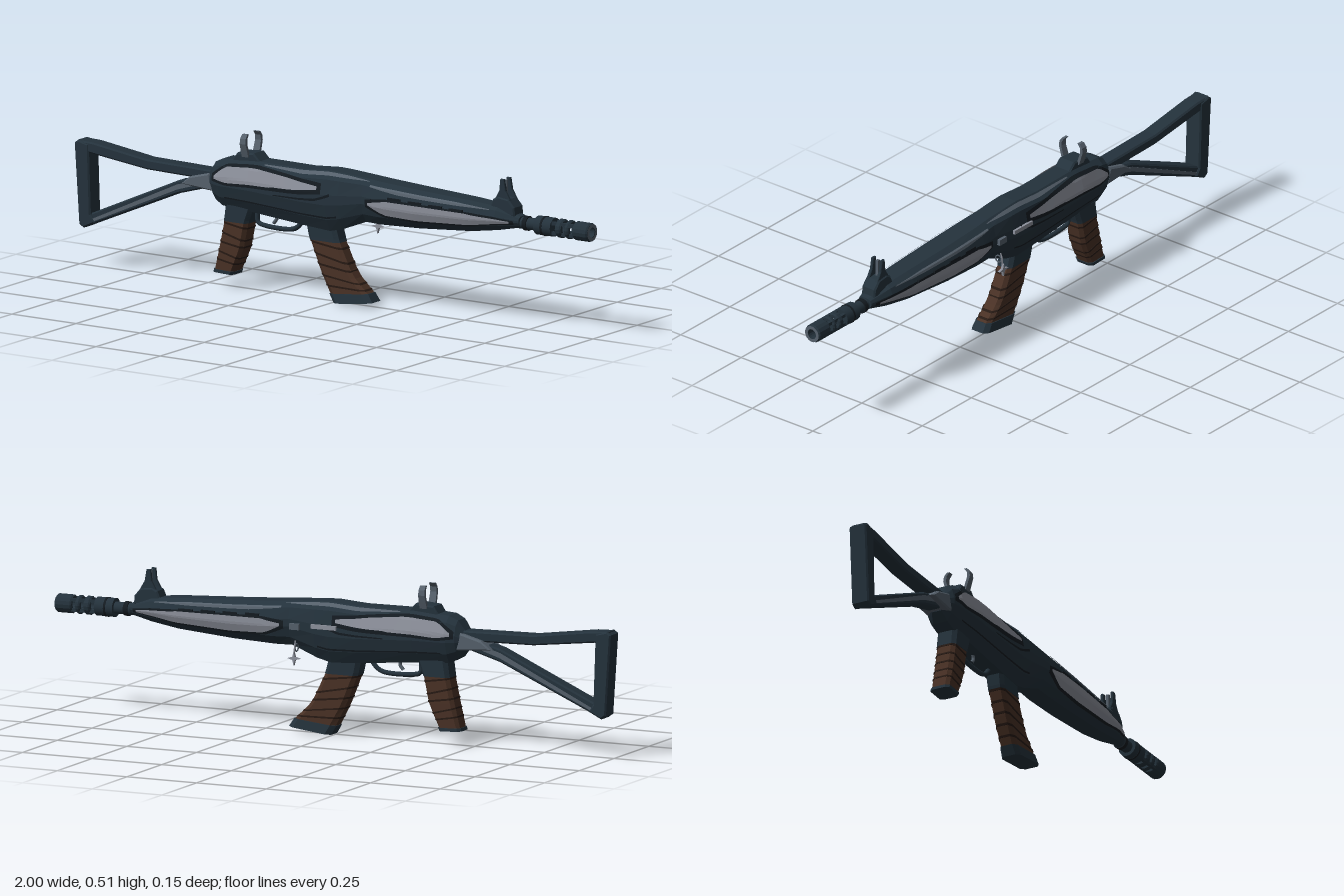
import * as THREE from 'three';

const mat = (name, color, side = THREE.FrontSide) => {
  const m = new THREE.MeshStandardMaterial({ color, side });
  m.name = name;
  return m;
};
const V = (x, y, z) => new THREE.Vector3(x, y, z);
const lerp = THREE.MathUtils.lerp;

// Piecewise-linear lookup in rows keyed by their first number
function sample(rows, k) {
  let i = 0;
  while (i < rows.length - 2 && k > rows[i + 1][0]) i++;
  const a = rows[i], b = rows[i + 1];
  const t = THREE.MathUtils.clamp((k - a[0]) / (b[0] - a[0]), 0, 1);
  return a.map((n, j) => lerp(n, b[j], t));
}

function flatGeometry(tris) {
  const g = new THREE.BufferGeometry().setFromPoints(tris);
  g.computeVertexNormals();
  return g;
}

// Closed faceted solid through rings of equal point count
function loft(rings) {
  const tris = [], n = rings[0].length;
  for (let i = 0; i < rings.length - 1; i++)
    for (let j = 0; j < n; j++) {
      const a = rings[i][j], b = rings[i][(j + 1) % n], c = rings[i + 1][(j + 1) % n], d = rings[i + 1][j];
      tris.push(a, b, c, a, c, d);
    }
  const first = rings[0], last = rings[rings.length - 1];
  for (let j = 1; j < n - 1; j++) {
    tris.push(first[0], first[j + 1], first[j]);
    tris.push(last[0], last[j], last[j + 1]);
  }
  // turn the faces outwards
  let volume = 0;
  for (let i = 0; i < tris.length; i += 3) volume += tris[i].dot(V(0, 0, 0).crossVectors(tris[i + 1], tris[i + 2]));
  if (volume < 0) for (let i = 0; i < tris.length; i += 3) [tris[i + 1], tris[i + 2]] = [tris[i + 2], tris[i + 1]];
  return flatGeometry(tris);
}

// Body stations: x, bottom, top, half width
const BODY = [
  [-0.475, 0.315, 0.375, 0.035], [-0.45, 0.285, 0.41, 0.052], [-0.42, 0.27, 0.424, 0.06],
  [-0.3, 0.262, 0.432, 0.064], [-0.1, 0.245, 0.43, 0.066], [0, 0.238, 0.437, 0.066],
  [0.05, 0.25, 0.435, 0.066], [0.14, 0.285, 0.429, 0.063], [0.2, 0.284, 0.424, 0.066],
  [0.35, 0.29, 0.415, 0.066], [0.55, 0.305, 0.405, 0.059], [0.65, 0.32, 0.397, 0.049], [0.73, 0.336, 0.372, 0.027],
];
// Half cross-section: height fraction, width fraction
const SECTION = [[0, 0.5], [0.2, 0.82], [0.45, 1], [0.62, 1], [0.87, 0.84], [1, 0.48]];

function bodyPoint(x, v, side, lift = 0) {
  const [, lo, hi, w] = sample(BODY, x);
  return V(x, lerp(lo, hi, v) + (v > 0.6 ? lift * 0.5 : 0), side * (sample(SECTION, v)[1] * w + lift));
}

// Thin panel lying on the body side; rows are x, lower and upper height fraction
function bodyPanel(rows, side, lift) {
  const tris = [], nx = 24, nv = 6;
  const x0 = rows[0][0], x1 = rows[rows.length - 1][0];
  const p = (i, j) => {
    const [x, lo, hi] = sample(rows, lerp(x0, x1, i / nx));
    return bodyPoint(x, lerp(lo, hi, j / nv), side, lift);
  };
  for (let i = 0; i < nx; i++)
    for (let j = 0; j < nv; j++) {
      const a = p(i, j), b = p(i + 1, j), c = p(i + 1, j + 1), d = p(i, j + 1);
      if (side > 0) tris.push(a, b, c, a, c, d);
      else tris.push(a, c, b, a, d, c);
    }
  return flatGeometry(tris);
}

// Grip and magazine rows: t, rear x, rear y, front x, front y, half depth
function handle(rows, t0, t1, grow = 0, slant = 0) {
  const rings = [], steps = 6;
  for (let i = 0; i <= steps; i++) {
    const t = lerp(t0, t1, i / steps);
    const r = sample(rows, t), f = sample(rows, t + slant);
    const w = r[5] + grow;
    const at = (k, z) => V(lerp(r[1] - grow, f[3] + grow, k), lerp(r[2], f[4], k), z * w);
    rings.push([at(0, -0.65), at(0.12, -1), at(0.88, -1), at(1, -0.65), at(1, 0.65), at(0.88, 1), at(0.12, 1), at(0, 0.65)]);
  }
  return loft(rings);
}

// Flat outline given depth along z
function slab(points, depth, bevel = 0.005) {
  const g = new THREE.ExtrudeGeometry(new THREE.Shape(points.map(p => new THREE.Vector2(...p))), {
    depth: depth - 2 * bevel, bevelSize: bevel, bevelOffset: -bevel, bevelThickness: bevel, bevelSegments: 1, bevelEnabled: bevel > 0,
  });
  return g.translate(0, 0, -depth / 2 + bevel);
}
const tube = (pts, r) => new THREE.TubeGeometry(new THREE.CatmullRomCurve3(pts.map(p => V(...p))), 24, r, 8);
const box = (x, y, z, w, h, d) => new THREE.BoxGeometry(w, h, d).translate(x, y, z);

export function createModel() {
  const steel = mat('blued steel', 0x24323c);
  const dark = mat('black steel', 0x141b21);
  const silver = mat('bright metal', 0x8d919c, THREE.DoubleSide);
  const gray = mat('worn metal', 0x55606b);
  const brown = mat('brown wrap', 0x493125);
  const wrap = mat('dark wrap seam', 0x271a14);

  const model = new THREE.Group();
  model.name = 'rifle';
  const add = (name, geometry, material) => {
    const m = new THREE.Mesh(geometry, material);
    m.name = name;
    model.add(m);
    return m;
  };

  // Receiver and handguard
  add('body', loft(BODY.map(([x]) => [
    ...SECTION.map(([v]) => bodyPoint(x, v, 1)),
    ...SECTION.map(([v]) => bodyPoint(x, v, -1)).reverse(),
  ])), steel);

  // Side panels
  for (const s of [1, -1]) {
    const receiver = [[-0.435, 0.6, 0.66], [-0.39, 0.54, 0.86], [-0.27, 0.58, 0.88], [-0.14, 0.62, 0.82], [-0.03, 0.68, 0.74]];
    const guard = [[0.17, 0.46, 0.52], [0.23, 0.27, 0.6], [0.36, 0.23, 0.62], [0.56, 0.24, 0.6], [0.7, 0.35, 0.5]];
    const border = rows => rows.map(([x, lo, hi], i) => [x + (i ? (i === rows.length - 1 ? 0.014 : 0) : -0.012), lo - 0.06, hi + 0.06]);
    add('receiverPanelBorder', bodyPanel(border(receiver), s, 0.002), dark);
    add('receiverPanel', bodyPanel(receiver, s, 0.005), silver);
    add('guardPanelBorder', bodyPanel(border(guard), s, 0.002), dark);
    add('guardPanel', bodyPanel(guard, s, 0.005), silver);
    add('upperGuardStrip', bodyPanel([[0.17, 0.86, 0.9], [0.28, 0.8, 0.9], [0.5, 0.8, 0.9], [0.63, 0.84, 0.87]], s, 0.003), gray);
    add('topEdgeStrip', bodyPanel([[-0.25, 0.95, 0.97], [-0.1, 0.92, 0.98], [0.08, 0.93, 0.98], [0.16, 0.95, 0.96]], s, 0.002), gray);
    add('receiverSeam', bodyPanel([[-0.2, 0.46, 0.48], [-0.04, 0.5, 0.54], [0.02, 0.6, 0.64]], s, 0.003), dark);
    add('lowerRail', bodyPanel([[-0.4, 0.2, 0.23], [0.04, 0.22, 0.25]], s, 0.002), dark);
    for (let i = 0; i < 4; i++) add('ventSlot', box(0.27 + i * 0.08, 0.379 - i * 0.002, s * 0.062, 0.05, 0.008, 0.008), dark);
  }

  // Charging handle and catch on the far side
  add('chargingHandle', box(0.01, 0.358, -0.068, 0.09, 0.014, 0.012), silver);
  add('boltCatch', box(0.115, 0.352, -0.068, 0.035, 0.02, 0.012), gray);

  // Folding stock
  add('stockTop', slab([[-0.99, 0.414], [-0.93, 0.412], [-0.72, 0.383], [-0.46, 0.378], [-0.46, 0.345], [-0.72, 0.35], [-0.94, 0.376], [-0.99, 0.376]], 0.056), steel);
  add('stockButt', slab([[-1, 0.405], [-0.985, 0.415], [-0.945, 0.405], [-0.937, 0.175], [-0.92, 0.15], [-0.965, 0.128], [-0.982, 0.14]], 0.062), steel);
  add('stockStrut', slab([[-0.965, 0.15], [-0.94, 0.178], [-0.6, 0.328], [-0.46, 0.362], [-0.46, 0.325], [-0.6, 0.285], [-0.95, 0.135]], 0.05), steel);
  for (const s of [1, -1])
    add('strutFace', slab([[-0.935, 0.16], [-0.6, 0.316], [-0.48, 0.348], [-0.48, 0.336], [-0.6, 0.299], [-0.935, 0.15]], 0.006, 0).translate(0, 0, s * 0.024), gray);
  add('stockHinge', slab([[-0.575, 0.325], [-0.54, 0.352], [-0.465, 0.372], [-0.45, 0.315], [-0.5, 0.318]], 0.09), gray);

  // Pistol grip and magazine
  const gripRows = [[0, -0.41, 0.275, -0.305, 0.275, 0.034], [0.2, -0.417, 0.225, -0.325, 0.225, 0.034],
    [0.6, -0.438, 0.13, -0.345, 0.13, 0.034], [1, -0.458, 0.048, -0.385, 0.045, 0.032]];
  const magRows = [[0, -0.1, 0.26, 0.01, 0.26, 0.03], [0.2, -0.088, 0.205, 0.026, 0.205, 0.029],
    [0.6, -0.045, 0.1, 0.078, 0.1, 0.029], [0.88, -0.008, 0.03, 0.137, 0.045, 0.029], [1, 0.01, 0, 0.155, 0.018, 0.032]];
  for (const [name, rows, end] of [['grip', gripRows, 0.95], ['magazine', magRows, 0.88]]) {
    add(name + 'Neck', handle(rows, 0, 0.22, 0.002), steel);
    add(name + 'Wrap', handle(rows, 0.2, end), brown);
    add(name + 'Foot', handle(rows, end, 1, 0.003), steel);
    for (let i = 0; i < 5; i++) {
      const t = 0.22 + i * 0.135;
      add(name + 'WrapSeam', handle(rows, t, t + 0.025, 0.0015, i % 2 ? 0.1 : 0.06), wrap);
    }
  }

  // Trigger and guard
  add('triggerGuard', tube([[-0.305, 0.265, 0], [-0.303, 0.225, 0], [-0.28, 0.217, 0], [-0.17, 0.217, 0], [-0.145, 0.23, 0], [-0.125, 0.255, 0]], 0.008), steel);
  add('trigger', tube([[-0.235, 0.265, 0], [-0.23, 0.245, 0], [-0.242, 0.228, 0]], 0.006), gray);

  // Barrel and slotted muzzle
  const ring = (name, x0, x1, r, material, sides = 16) =>
    add(name, new THREE.CylinderGeometry(r, r, x1 - x0, sides).rotateZ(-Math.PI / 2).translate((x0 + x1) / 2, 0.35, 0), material);
  ring('barrel', 0.7, 0.8, 0.02, steel);
  ring('barrelCollar', 0.74, 0.755, 0.024, dark);
  ring('muzzleBase', 0.79, 0.855, 0.031, steel);
  ring('muzzleBaseBand', 0.815, 0.822, 0.0325, dark);
  const sleeve = (name, x0, x1) => add(name, new THREE.LatheGeometry(
    [[0.017, x0], [0.027, x0], [0.031, x0 + 0.005], [0.031, x1 - 0.005], [0.027, x1], [0.017, x1], [0.017, x0]].map(p => new THREE.Vector2(...p)), 16)
    .toNonIndexed().rotateZ(-Math.PI / 2).translate(0, 0.35, 0), steel).geometry.computeVertexNormals();
  sleeve('muzzleRing', 0.872, 0.895);
  sleeve('muzzleRing', 0.908, 0.925);
  sleeve('muzzleTip', 0.938, 0.998);
  for (let i = 0; i < 4; i++) {
    const a = Math.PI / 4 + i * Math.PI / 2;
    add('muzzleBar', box(0.897, 0.35 + 0.023 * Math.sin(a), 0.023 * Math.cos(a), 0.1, 0.011, 0.011), steel);
  }
  add('muzzleFace', new THREE.RingGeometry(0.017, 0.028, 24).rotateY(Math.PI / 2).translate(1, 0.35, 0), gray);
  add('boreEnd', new THREE.CircleGeometry(0.017, 24).rotateY(Math.PI / 2).translate(0.945, 0.35, 0), dark);

  // Front sight
  add('frontSightBase', slab([[0.615, 0.385], [0.63, 0.42], [0.65, 0.43], [0.69, 0.425], [0.712, 0.4], [0.715, 0.37]], 0.055), steel);
  for (const s of [1, -1])
    add('frontSightWing', slab([[0.635, 0.42], [0.652, 0.45], [0.656, 0.488], [0.67, 0.488], [0.677, 0.45], [0.695, 0.42]], 0.011, 0.002).translate(0, 0, s * 0.018), steel);
  add('frontSightPost', box(0.664, 0.45, 0, 0.01, 0.066, 0.009), gray);

  // Rear sight with curved horns
  add('rearSightBase', slab([[-0.385, 0.42], [-0.365, 0.45], [-0.3, 0.455], [-0.27, 0.425]], 0.064), steel);
  for (const s of [1, -1]) {
    const horn = [[0, 0.03, 0.44], [0.2, 0.037, 0.462], [0.5, 0.044, 0.485], [0.75, 0.042, 0.502], [1, 0.032, 0.515]];
    add('rearSightHorn', loft(horn.map(([t, z, y]) => {
      const w = 0.013 - 0.003 * t, d = 0.005;
      return [[-w, -d], [w, -d], [w, d], [-w, d]].map(([x, o]) => V(-0.33 + x, y, s * (z + o)));
    })), gray);
  }

  // Hanging star charm
  add('charmLoop', new THREE.TorusGeometry(0.012, 0.0025, 6, 16).rotateY(Math.PI / 2).translate(0.115, 0.282, -0.054), gray);
  add('charmCord', tube([[0.115, 0.305, -0.062], [0.115, 0.29, -0.068], [0.115, 0.268, -0.07]], 0.0025), silver);
  const star = [];
  for (let i = 0; i < 8; i++) {
    const r = i % 2 ? 0.007 : 0.023, a = i * Math.PI / 4;
    star.push([0.115 + r * Math.cos(a), 0.249 + r * Math.sin(a)]);
  }
  add('charmStar', slab(star, 0.009, 0).translate(0, 0, -0.072), silver);

  model.children.forEach(m => { m.position.z += 0.004; });
  return model;
}
